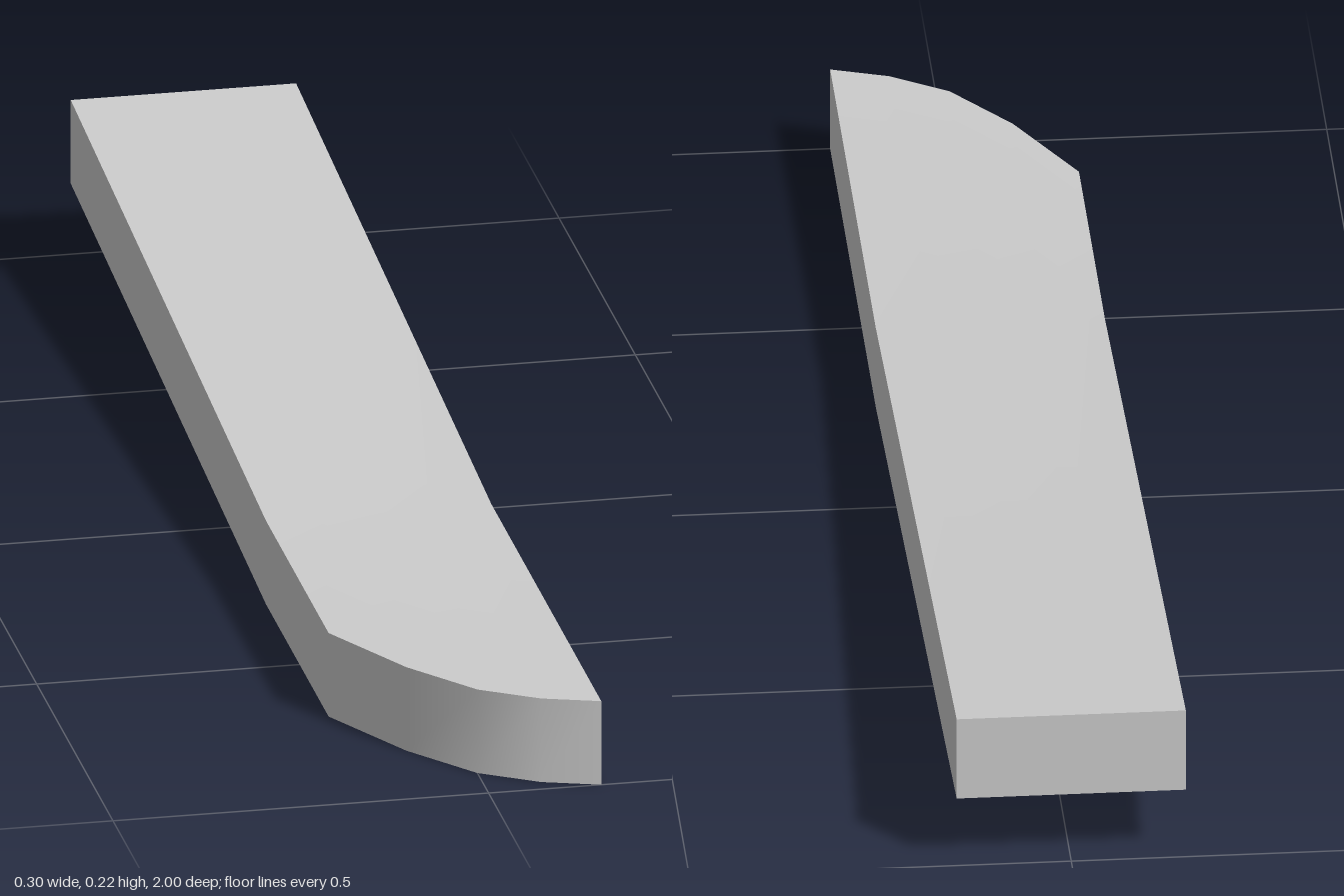
import * as THREE from 'three';

export function createModel() {
  const group = new THREE.Group();

  const bendZ = 0.28, backZ = -1, thickness = 0.117, rise = 0.099;
  // Curved tip: z of the front edge at five even steps from right (-x) to left (+x)
  const tipZ = [0.69, 0.83, 0.927, 0.975, 1];

  // Bar of three cross-sections: curved tip, bend, raised back end
  const geometry = new THREE.BoxGeometry(0.3, thickness, 2, 4, 1, 2);
  const p = geometry.attributes.position;
  for (let i = 0; i < p.count; i++) {
    const row = Math.round(p.getZ(i)); // 1 tip, 0 bend, -1 back
    const column = Math.round((p.getX(i) + 0.15) / 0.075);
    const lift = row < 0 ? rise : 0;
    p.setY(i, p.getY(i) + thickness / 2 + lift);
    p.setZ(i, row > 0 ? tipZ[column] : row < 0 ? backZ : bendZ);
  }
  geometry.computeVertexNormals(); // smooth within each side, sharp between sides

  const bar = new THREE.Mesh(geometry, new THREE.MeshStandardMaterial({ color: 0xcccccc }));
  bar.name = 'bentBar';
  group.add(bar);
  return group;
}
